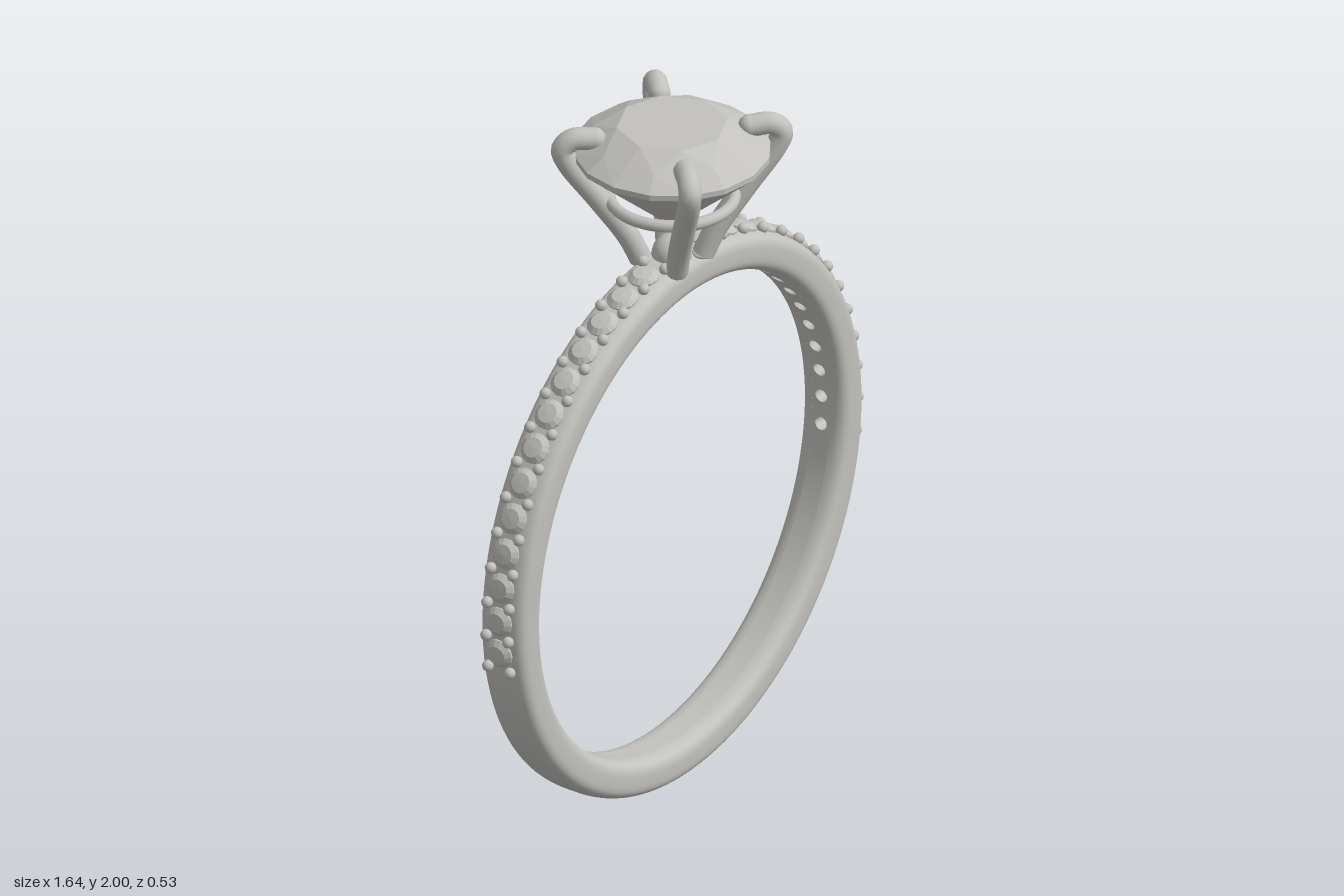
import * as THREE from 'three';

const CY = 0.795;                       // height of the band's centre
const DEG = Math.PI / 180;
const STEP = 7.1 * DEG, START = -8.2 * DEG, STONES = 13;
const HALF = 0.03, HOLE = 0.019;        // inner strip half width, hole radius

export function createModel() {
  const metal = new THREE.MeshStandardMaterial({ color: 0xc2c1bd, side: THREE.DoubleSide });
  metal.name = 'polished metal';
  const gem = new THREE.MeshStandardMaterial({ color: 0xc2c1bd, flatShading: true });
  gem.name = 'clear stone';
  const model = new THREE.Group();
  const add = (name, geo, mat, parent = model) => {
    const m = new THREE.Mesh(geo, mat);
    m.name = name;
    parent.add(m);
    return m;
  };

  // Band: rounded cross-section turned about z, left open along the inner strip
  const soft = (v) => Math.sign(v) * Math.abs(v) ** 0.6;
  const gap = Math.asin((HALF / 0.073) ** (1 / 0.6));
  const profile = [];
  for (let i = 0; i <= 48; i++) {
    const t = Math.PI + gap + (i / 48) * (2 * Math.PI - 2 * gap);
    profile.push(new THREE.Vector2(0.74 + 0.055 * soft(Math.cos(t)), 0.073 * soft(Math.sin(t))));
  }
  const inner = profile[0].x;
  const band = new THREE.Group();
  band.name = 'band';
  band.position.y = CY;
  model.add(band);
  add('bandShell', new THREE.LatheGeometry(profile, 128).rotateX(Math.PI / 2), metal, band);

  // Plain stretches of the inner strip, at the bottom and under the head
  const strip = [new THREE.Vector2(inner, HALF), new THREE.Vector2(inner, -HALF)];
  const end = START + STEP * STONES;
  const plain = (from, to, n) => add('innerStrip',
    new THREE.LatheGeometry(strip, n, from + Math.PI / 2, to - from).rotateX(Math.PI / 2), metal, band);
  plain(end, Math.PI - end, 6);
  plain(Math.PI - START, 2 * Math.PI + START, 80);

  // One pierced cell of the inner strip, bent around the band's axis
  const piercedCell = () => {
    const w = (STEP * inner) / 2, pts = [];
    for (let i = 0; i <= 4; i++) pts.push(new THREE.Vector2(-w + (i * w) / 2, -HALF));
    for (let i = 0; i <= 4; i++) pts.push(new THREE.Vector2(w - (i * w) / 2, HALF));
    const shape = new THREE.Shape(pts);
    shape.holes.push(new THREE.Path().absarc(0, 0, HOLE, 0, 2 * Math.PI, true));
    const geo = new THREE.ShapeGeometry(shape, 10);
    const p = geo.attributes.position, n = geo.attributes.normal;
    for (let i = 0; i < p.count; i++) {
      const a = -p.getX(i) / inner, z = p.getY(i);
      p.setXYZ(i, inner * Math.cos(a), inner * Math.sin(a), z);
      n.setXYZ(i, -Math.cos(a), -Math.sin(a), 0);
    }
    return geo;
  };
  const cellGeo = piercedCell();
  const wallGeo = new THREE.CylinderGeometry(HOLE, HOLE, 0.09, 16, 1, true)
    .rotateZ(-Math.PI / 2).translate(inner + 0.045, 0, 0);

  // Small stones and bead pairs along both shoulders
  const stoneGeo = new THREE.LatheGeometry(
    [[0, -0.03], [0.042, -0.004], [0.043, 0.002], [0.028, 0.014], [0, 0.016]]
      .map(([r, y]) => new THREE.Vector2(r, y)), 14)
    .rotateZ(-Math.PI / 2).translate(0.797, 0, 0);
  const beadGeo = new THREE.SphereGeometry(0.016, 12, 8);
  for (const side of [1, -1]) {
    const around = (a) => (side > 0 ? a : Math.PI - a);
    for (let i = 0; i < STONES; i++) {
      const a = around(START + STEP * (i + 0.5));
      add('smallStone', stoneGeo, gem, band).rotation.z = a;
      add('piercedStrip', cellGeo, metal, band).rotation.z = a;
      add('holeWall', wallGeo, metal, band).rotation.z = a;
    }
    for (let i = 0; i <= STONES; i++) {
      const a = around(START + STEP * i);
      for (const z of [-0.036, 0.036])
        add('bead', beadGeo, metal, band).position.set(0.803 * Math.cos(a), 0.803 * Math.sin(a), z);
    }
  }

  // Centre stone: table, star, kite and girdle facets over a pointed base
  const ringPt = (r, y, k) => [r * Math.sin(k * Math.PI / 8), y, r * Math.cos(k * Math.PI / 8)];
  const tri = [];
  const face = (...pts) => {
    for (let i = 1; i < pts.length - 1; i++) tri.push(...pts[0], ...pts[i], ...pts[i + 1]);
  };
  const table = (k) => ringPt(0.15, 1.993, k);
  const mid = (k) => ringPt(0.216, 1.957, k);
  const upper = (k) => ringPt(0.267, 1.921, k);
  const lower = (k) => ringPt(0.267, 1.905, k);
  for (let k = 0; k < 16; k += 2) {
    face([0, 1.993, 0], table(k), table(k + 2));
    face(table(k), mid(k + 1), table(k + 2));
    face(table(k), mid(k - 1), upper(k), mid(k + 1));
    face(mid(k + 1), upper(k), upper(k + 1));
    face(mid(k + 1), upper(k + 1), upper(k + 2));
  }
  for (let k = 0; k < 16; k++) {
    face(lower(k), lower(k + 1), upper(k + 1), upper(k));
    face(lower(k + 1), lower(k), [0, 1.675, 0]);
  }
  const stone = new THREE.BufferGeometry();
  stone.setAttribute('position', new THREE.Float32BufferAttribute(tri, 3));
  stone.computeVertexNormals();
  add('centreStone', stone, gem);

  // Four claws, each curving up and over the stone's edge
  const path = new THREE.CatmullRomCurve3(
    [[0.085, 1.585], [0.12, 1.66], [0.2, 1.78], [0.283, 1.9], [0.297, 1.942], [0.27, 1.968], [0.21, 1.966]]
      .map(([x, y]) => new THREE.Vector3(x, y, 0)));
  const clawGeo = new THREE.TubeGeometry(path, 48, 0.031, 14);
  const tipGeo = new THREE.SphereGeometry(0.031, 14, 10);
  for (let i = 0; i < 4; i++) {
    const claw = new THREE.Group();
    claw.name = 'claw';
    claw.rotation.y = Math.PI / 4 + (i * Math.PI) / 2;
    add('clawStem', clawGeo, metal, claw);
    add('clawTip', tipGeo, metal, claw).position.copy(path.getPoint(1));
    const foot = add('clawFoot', tipGeo, metal, claw);
    foot.position.copy(path.getPoint(0));
    foot.scale.y = 0.35;
    model.add(claw);
  }

  // Rail joining the claws and the knob at their foot
  add('rail', new THREE.TorusGeometry(0.168, 0.017, 12, 48).rotateX(Math.PI / 2), metal).position.y = 1.772;
  add('baseKnob', new THREE.SphereGeometry(0.055, 20, 14), metal).position.y = 1.592;
  return model;
}
